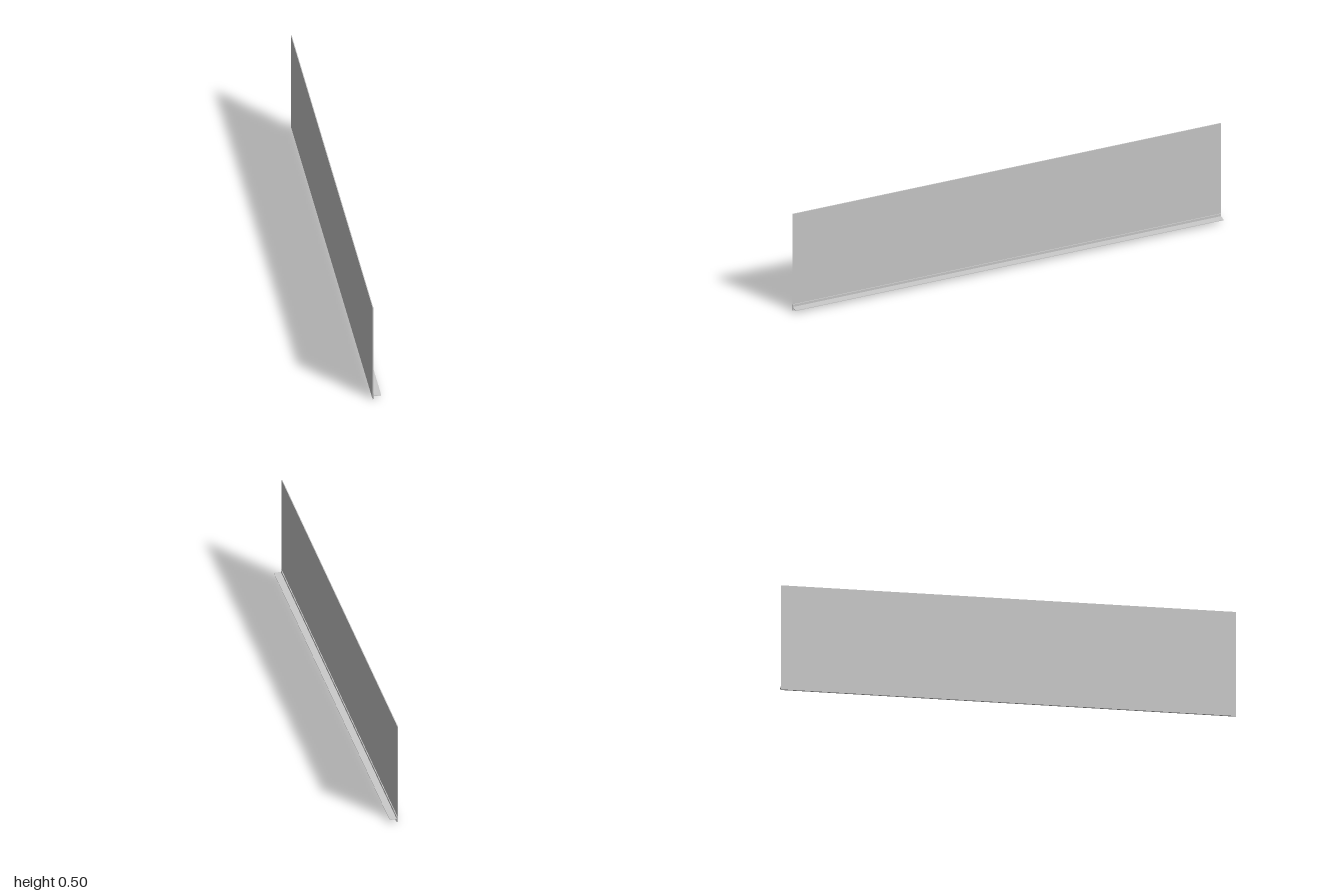
import * as THREE from 'three';

const LENGTH = 2;

export function createModel() {
  const group = new THREE.Group();
  const material = new THREE.MeshStandardMaterial({ color: 0xcccccc, flatShading: true });

  // Full-length bar given by its cross-section limits in x and y
  const bar = (name, x0, x1, y0, y1) => {
    const mesh = new THREE.Mesh(new THREE.BoxGeometry(x1 - x0, y1 - y0, LENGTH), material);
    mesh.position.set((x0 + x1) / 2, (y0 + y1) / 2, 0);
    mesh.name = name;
    group.add(mesh);
  };

  // Tall thin upright sheet
  bar('panel', -0.019, -0.0155, 0, 0.5);
  // Backing strip along the foot of the sheet
  bar('mountingStrip', -0.0155, -0.012, 0, 0.031);
  // Narrow ledge standing out from the strip
  bar('flange', -0.012, 0.019, 0.0165, 0.019);

  return group;
}
